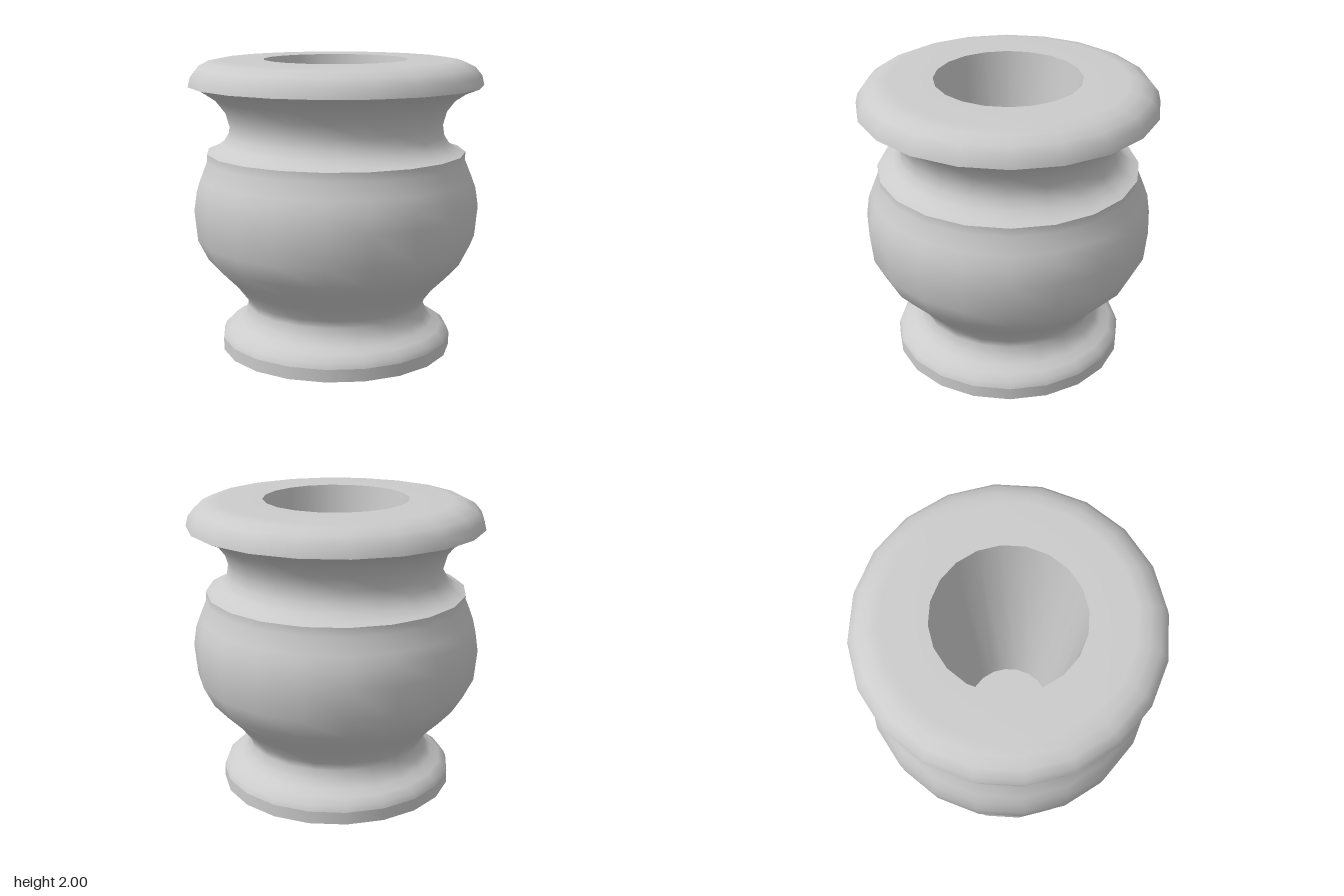
import * as THREE from 'three';

const SIDES = 20;

// Profiles as [radius, height]; each strip is smooth, edges between strips are sharp
const STRIPS = {
  underside: [[0, 0], [0.8, 0]],
  baseBand: [[0.8, 0], [0.8, 0.085]],
  body: [
    [0.8, 0.085], [0.785, 0.125], [0.74, 0.16], [0.68, 0.19], [0.64, 0.235], [0.617, 0.3],
    [0.625, 0.35], [0.7, 0.45], [0.8, 0.55], [0.89, 0.65], [0.96, 0.79], [0.98, 1.0],
    [0.96, 1.13], [0.93, 1.21], [0.885, 1.32], [0.885, 1.378],
  ],
  neck: [
    [0.885, 1.378], [0.83, 1.395], [0.775, 1.435], [0.74, 1.49], [0.73, 1.56],
    [0.755, 1.65], [0.82, 1.735], [0.91, 1.795], [1.0, 1.83],
  ],
  rim: [[1.0, 1.83], [0.985, 1.895], [0.94, 1.95], [0.87, 1.985], [0.79, 2.0], [0.49, 2.0]],
  innerWall: [[0.49, 2.0], [0.3, 0.3]],
  innerFloor: [[0.3, 0.3], [0, 0.3]],
};

export function createModel() {
  const pot = new THREE.Group();
  pot.name = 'pot';
  const material = new THREE.MeshStandardMaterial({ color: 0xcccccc });

  for (const [name, profile] of Object.entries(STRIPS)) {
    const points = profile.map(([r, y]) => new THREE.Vector2(r, y));
    const mesh = new THREE.Mesh(new THREE.LatheGeometry(points, SIDES), material);
    mesh.name = name;
    pot.add(mesh);
  }
  return pot;
}
